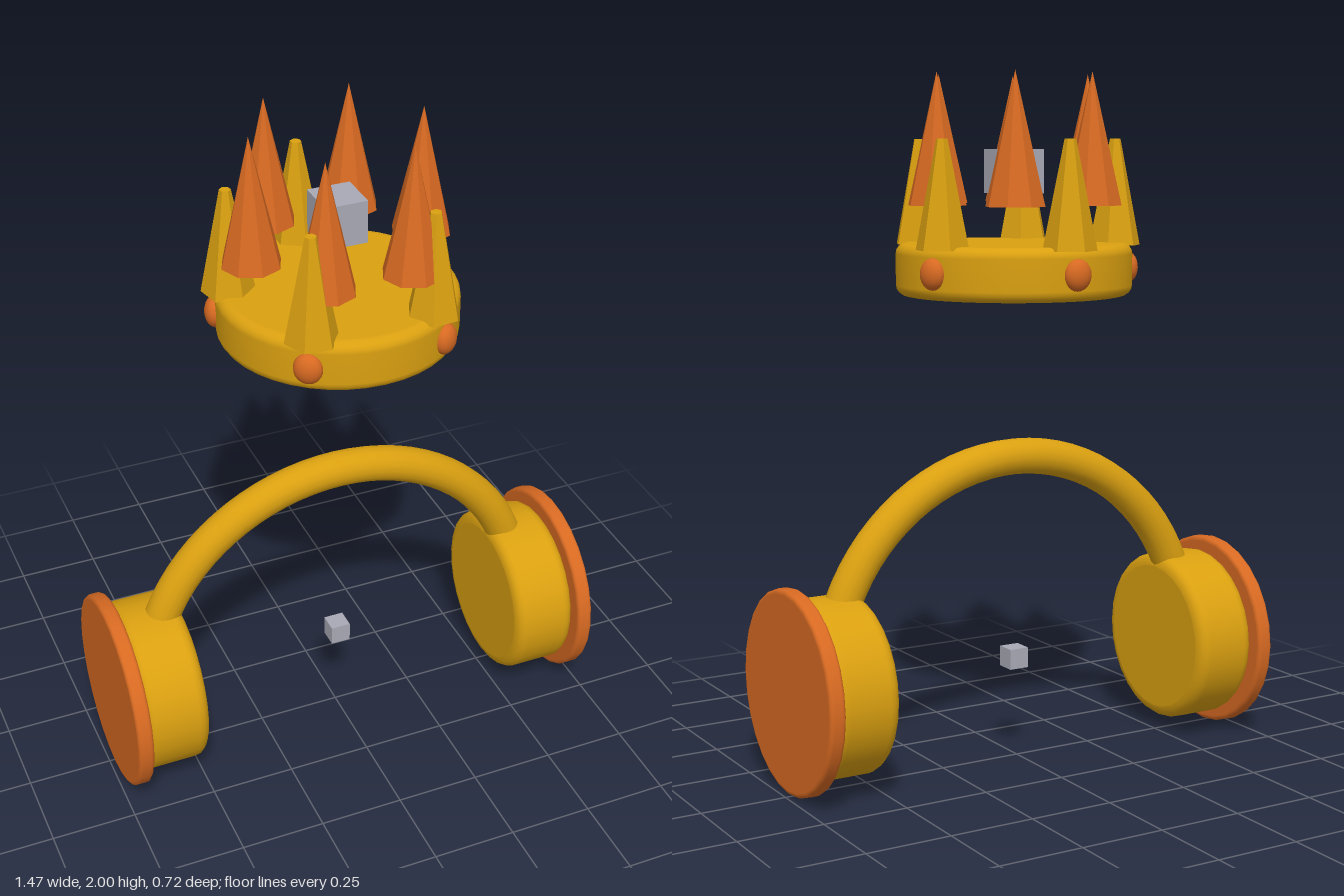
import * as THREE from 'three';

const CZ = 0.015; // shared centre line in z
const CY = 0.292; // height of the ear cup axis

const mat = (name, color, flatShading = false) => {
  const m = new THREE.MeshStandardMaterial({ color, flatShading });
  m.name = name;
  return m;
};

// Solid disc with softly rounded rims, from y0 to y1
function roundedDisc(radius, y0, y1, bevel, segments) {
  const pts = [new THREE.Vector2(0, y0), new THREE.Vector2(radius - bevel - 0.002, y0)];
  for (const [cy, start] of [[y0 + bevel, -Math.PI / 2], [y1 - bevel, 0]]) {
    for (let i = 0; i <= 4; i++) {
      const a = start + (i / 4) * (Math.PI / 2);
      pts.push(new THREE.Vector2(radius - bevel + Math.cos(a) * bevel, cy + Math.sin(a) * bevel));
    }
  }
  pts.push(new THREE.Vector2(radius - bevel - 0.002, y1), new THREE.Vector2(0, y1));
  return new THREE.LatheGeometry(pts, segments);
}

export function createModel() {
  const model = new THREE.Group();
  model.name = 'crownAndHeadphones';

  const gold = mat('gold', 0xdaa010);
  const goldFacet = gold.clone();
  goldFacet.name = 'goldFaceted';
  goldFacet.flatShading = true;
  const orange = mat('orange', 0xd86a22);
  const orangeFacet = orange.clone();
  orangeFacet.name = 'orangeFaceted';
  orangeFacet.flatShading = true;
  const grey = mat('grey', 0xa9a9b6);

  const add = (parent, name, geometry, material, x = 0, y = 0, z = 0) => {
    const mesh = new THREE.Mesh(geometry, material);
    mesh.name = name;
    mesh.position.set(x, y, z);
    parent.add(mesh);
    return mesh;
  };

  // Crown: solid base, five spikes with jewels, six floating cones
  const crown = new THREE.Group();
  crown.name = 'crown';
  crown.position.z = CZ;
  model.add(crown);
  add(crown, 'crownBase', roundedDisc(0.34, 1.37, 1.52, 0.03, 40), gold);

  const spikeGeo = new THREE.CylinderGeometry(0.016, 0.076, 0.305, 6);
  const jewelGeo = new THREE.SphereGeometry(1, 16, 12);
  for (let i = 0; i < 5; i++) {
    const a = Math.PI + (i * Math.PI * 2) / 5;
    const s = Math.sin(a), c = Math.cos(a);
    add(crown, 'crownSpike', spikeGeo, goldFacet, s * 0.3, 1.6625, c * 0.3).rotation.y = a;
    const jewel = add(crown, 'crownJewel', jewelGeo, orange, s * 0.34, 1.445, c * 0.34);
    jewel.scale.set(0.041, 0.045, 0.029);
    jewel.rotation.y = a;
  }

  const coneGeo = new THREE.ConeGeometry(0.085, 0.37, 8);
  for (let i = 0; i < 6; i++) {
    const a = (i * Math.PI) / 3;
    add(crown, 'floatingCone', coneGeo, orangeFacet, Math.cos(a) * 0.25, 1.815, Math.sin(a) * 0.25);
  }
  add(crown, 'crownCube', new THREE.BoxGeometry(0.125, 0.125, 0.125), grey, 0, 1.723, 0);

  // Headphones: arched band with a mirrored pair of cups
  const headphones = new THREE.Group();
  headphones.name = 'headphones';
  headphones.position.set(0, CY, CZ);
  model.add(headphones);
  add(headphones, 'headband', new THREE.TorusGeometry(0.605, 0.053, 16, 40, Math.PI), gold);
  add(headphones, 'centreCube', new THREE.BoxGeometry(0.06, 0.06, 0.06), grey, 0, 0.004, 0);

  const cupGeo = roundedDisc(0.256, 0.503, 0.695, 0.035, 28);
  const plateGeo = roundedDisc(0.292, 0.69, 0.737, 0.012, 28);
  for (const side of [1, -1]) {
    const ear = new THREE.Group();
    ear.name = side > 0 ? 'leftEarCup' : 'rightEarCup';
    ear.rotation.z = (-side * Math.PI) / 2;
    headphones.add(ear);
    add(ear, 'cup', cupGeo, gold);
    add(ear, 'outerPlate', plateGeo, orange);
  }

  return model;
}
